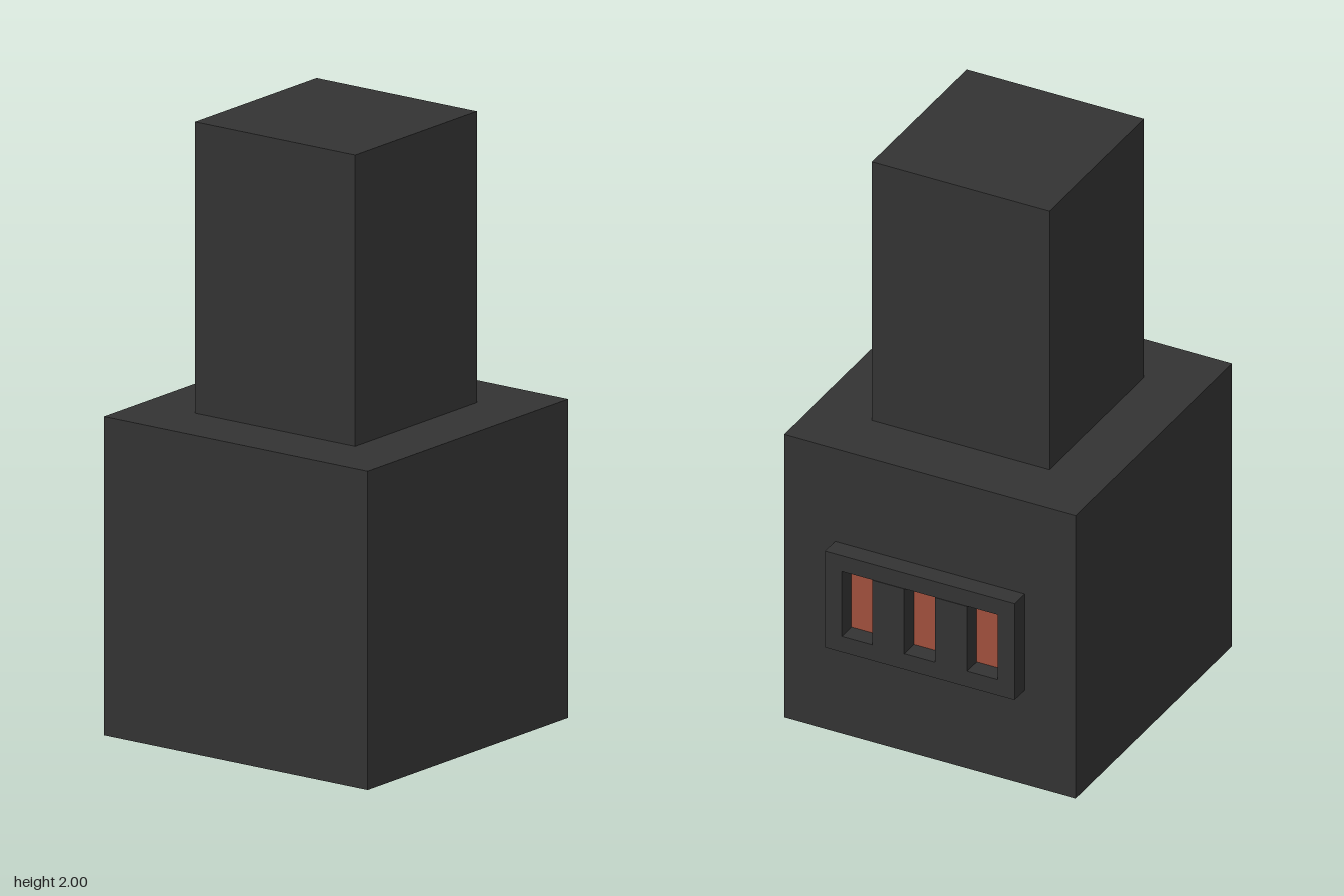
import * as THREE from 'three';

const dark = new THREE.MeshStandardMaterial({ color: 0x333333 });
const ember = new THREE.MeshStandardMaterial({ color: 0x9f4f3c });

// Box given by its minimum and maximum corners
function box(name, min, max, material) {
  const size = max.map((v, i) => v - min[i]);
  const mesh = new THREE.Mesh(new THREE.BoxGeometry(...size), material);
  mesh.position.set(...max.map((v, i) => (v + min[i]) / 2));
  mesh.name = name;
  return mesh;
}

function rectangle(path, halfWidth, bottom, top) {
  path.moveTo(-halfWidth, bottom);
  path.lineTo(halfWidth, bottom);
  path.lineTo(halfWidth, top);
  path.lineTo(-halfWidth, top);
  path.closePath();
  return path;
}

export function createModel() {
  const model = new THREE.Group();
  model.name = 'furnace';
  const wall = 0.488;

  // Main block and chimney
  model.add(box('body', [-0.557, 0, -0.522], [wall, 1.045, 0.522], dark));
  model.add(box('chimney', [-0.352, 1.045, -0.317], [0.282, 2, 0.317], dark));

  // Grate on the left (+x) side: frame, bars and glowing slots
  const grate = new THREE.Group();
  grate.name = 'grate';
  const outline = rectangle(new THREE.Shape(), 0.338, 0.347, 0.703);
  outline.holes.push(rectangle(new THREE.Path(), 0.278, 0.405, 0.645));
  const frame = new THREE.Mesh(
    new THREE.ExtrudeGeometry(outline, { depth: 0.067, bevelEnabled: false }), dark);
  frame.name = 'grateFrame';
  frame.rotation.y = Math.PI / 2;
  frame.position.x = wall;
  grate.add(frame);

  for (const z of [-0.112, 0.112]) {
    grate.add(box('grateBar', [wall, 0.405, z - 0.057], [0.557, 0.645, z + 0.057], dark));
  }
  for (const z of [-0.223, 0, 0.223]) {
    const glow = new THREE.Mesh(new THREE.PlaneGeometry(0.11, 0.24), ember);
    glow.name = 'glowingSlot';
    glow.rotation.y = Math.PI / 2;
    glow.position.set(wall + 0.003, 0.525, z);
    grate.add(glow);
  }
  model.add(grate);
  return model;
}
